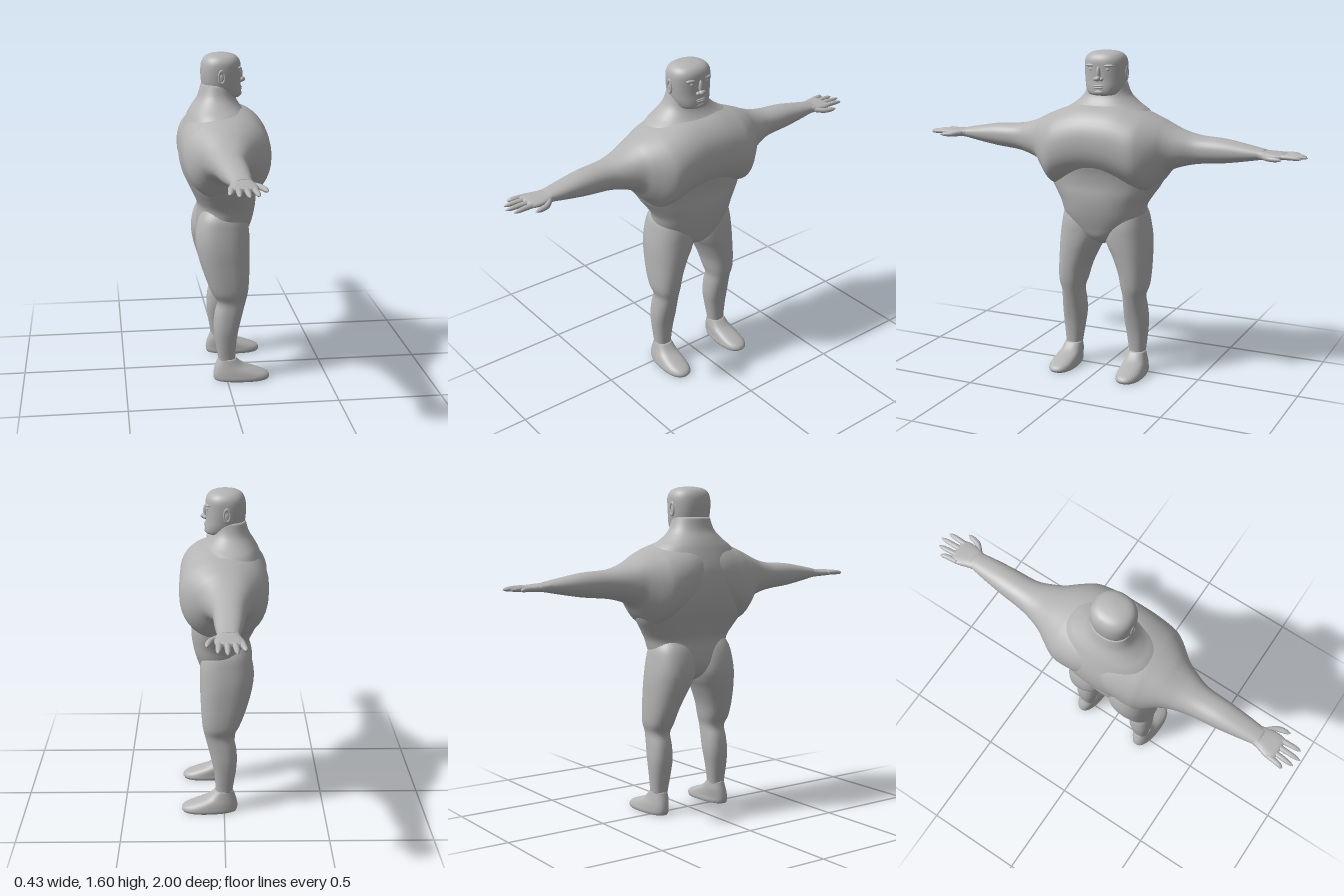
import * as THREE from 'three';

const skin = new THREE.MeshStandardMaterial({ color: 0xb4b4b4 });
skin.name = 'grey skin';

const spline = (a, b, c, d, t) =>
  0.5 * (2 * b + (c - a) * t + (2 * a - 5 * b + 4 * c - d) * t * t + (3 * b - a - 3 * c + d) * t * t * t);

// Smooth closed skin through sections [t, xMin, xMax, bMin, bMax] along axis 'y' (b = z) or 'z' (b = y).
// power squares the rings off; taper makes them wider towards +x.
function loft(axis, rows, { power = 2.2, sides = 36, steps = 4, taper = 0 } = {}) {
  const fine = [];
  for (let i = 0; i < rows.length - 1; i++) {
    const a = rows[Math.max(i - 1, 0)], b = rows[i], c = rows[i + 1], d = rows[Math.min(i + 2, rows.length - 1)];
    for (let s = 0; s < steps; s++) fine.push(b.map((_, k) => spline(a[k], b[k], c[k], d[k], s / steps)));
  }
  fine.push(rows[rows.length - 1]);
  const pos = [], index = [];
  const put = (t, x, b) => (axis === 'y' ? pos.push(x, t, b) : pos.push(x, b, t));
  const tri = (a, b, c) => (axis === 'y' ? index.push(a, c, b) : index.push(a, b, c));
  const bend = (v) => Math.sign(v) * Math.abs(v) ** (2 / power);
  for (const [t, x0, x1, b0, b1] of fine) {
    for (let j = 0; j < sides; j++) {
      const q = (j / sides) * Math.PI * 2, c = bend(Math.cos(q)), s = bend(Math.sin(q));
      put(t, (x0 + x1) / 2 + (c * (x1 - x0)) / 2, (b0 + b1) / 2 + (s * (1 + taper * c) * (b1 - b0)) / 2);
    }
  }
  for (let i = 0; i < fine.length - 1; i++) {
    for (let j = 0; j < sides; j++) {
      const a = i * sides + j, b = i * sides + ((j + 1) % sides);
      tri(a, b, a + sides);
      tri(b, b + sides, a + sides);
    }
  }
  // end caps
  for (const end of [0, fine.length - 1]) {
    const [t, x0, x1, b0, b1] = fine[end], mid = pos.length / 3;
    put(t, (x0 + x1) / 2, (b0 + b1) / 2);
    for (let j = 0; j < sides; j++) {
      const a = end * sides + j, b = end * sides + ((j + 1) % sides);
      if (end) tri(a, b, mid);
      else tri(b, a, mid);
    }
  }
  const g = new THREE.BufferGeometry();
  g.setAttribute('position', new THREE.Float32BufferAttribute(pos, 3));
  g.setIndex(index);
  g.computeVertexNormals();
  return g;
}

// Copy on the other side of the body, with the winding put right
function mirrored(geometry) {
  const g = geometry.clone().scale(1, 1, -1), ix = g.index.array;
  for (let i = 0; i < ix.length; i += 3) [ix[i], ix[i + 1]] = [ix[i + 1], ix[i]];
  g.computeVertexNormals();
  return g;
}

const ball = (x, y, z, rx, ry, rz) => new THREE.SphereGeometry(1, 20, 14).scale(rx, ry, rz).translate(x, y, z);

export function createModel() {
  const model = new THREE.Group();
  model.name = 'heavyset figure';
  const add = (name, geometry) => {
    const mesh = new THREE.Mesh(geometry, skin);
    mesh.name = name;
    model.add(mesh);
  };
  const addPair = (name, geometry) => {
    add(name + 'Near', geometry);
    add(name + 'Far', mirrored(geometry));
  };
  const even = (rows) => rows.map(([y, x0, x1, w]) => [y, x0, x1, -w, w]);

  // Trunk from crotch to neck
  add('torso', loft('y', even([
    [0.655, -0.05, 0.06, 0.02], [0.69, -0.1, 0.108, 0.09], [0.74, -0.125, 0.128, 0.165],
    [0.8, -0.128, 0.146, 0.205], [0.86, -0.125, 0.157, 0.222], [0.91, -0.145, 0.16, 0.252],
    [0.96, -0.168, 0.158, 0.285], [1.02, -0.195, 0.165, 0.305], [1.1, -0.212, 0.185, 0.31],
    [1.2, -0.206, 0.188, 0.295], [1.3, -0.17, 0.128, 0.222], [1.345, -0.147, 0.085, 0.16],
    [1.39, -0.12, 0.06, 0.115], [1.45, -0.102, 0.055, 0.095],
  ]), { sides: 48 }));

  // Chest and shoulders running out into both arms
  const half = [
    [0.1, -0.212, 0.213, 0.972, 1.345], [0.2, -0.206, 0.21, 0.94, 1.316], [0.25, -0.188, 0.19, 0.935, 1.298],
    [0.3, -0.16, 0.15, 0.985, 1.277], [0.34, -0.138, 0.115, 1.035, 1.257], [0.4, -0.115, 0.085, 1.06, 1.232],
    [0.48, -0.097, 0.058, 1.078, 1.213], [0.6, -0.085, 0.051, 1.09, 1.205], [0.7, -0.071, 0.044, 1.106, 1.189],
    [0.78, -0.058, 0.036, 1.121, 1.174], [0.8, -0.056, 0.036, 1.125, 1.169],
  ];
  const otherHalf = half.map(([z, ...r]) => [-z, ...r]).reverse();
  add('chestAndArms', loft('z', [...otherHalf, [0, -0.2, 0.212, 0.985, 1.35], ...half], { sides: 40 }));

  // Palms, fingers and thumbs
  addPair('palm', loft('z', [
    [0.77, -0.056, 0.034, 1.123, 1.172], [0.81, -0.064, 0.045, 1.126, 1.166],
    [0.85, -0.077, 0.05, 1.129, 1.163], [0.885, -0.08, 0.046, 1.132, 1.16], [0.9, -0.074, 0.04, 1.138, 1.154],
  ], { power: 2.6, sides: 24 }));
  const finger = (points, r) => {
    const curve = new THREE.CatmullRomCurve3(points.map((p) => new THREE.Vector3(...p)));
    const rows = [];
    for (let i = 0; i <= 10; i++) {
      const p = curve.getPoint(i / 10), s = r * [1, 1, 1, 1, 1, 0.97, 0.94, 0.9, 0.82, 0.62, 0.15][i];
      rows.push([p.z, p.x - s, p.x + s, p.y - s * 0.85, p.y + s * 0.85]);
    }
    return loft('z', rows, { power: 2, sides: 12, steps: 1 });
  };
  [[-0.066, -0.08, 0.95], [-0.035, -0.045, 0.985], [-0.003, -0.006, 1], [0.028, 0.034, 0.98]].forEach(([x0, x1, tip], i) =>
    addPair('finger' + (i + 1), finger([[x0, 1.146, 0.86], [(x0 + x1) / 2, 1.147, 0.92], [x1, 1.144, tip]], 0.0135)));
  addPair('thumb', finger([[0.025, 1.145, 0.79], [0.065, 1.142, 0.835], [0.08, 1.141, 0.9]], 0.0155));

  // Legs, from hip to ankle
  addPair('leg', loft('y', [
    [0.05, -0.045, 0.05, 0.135, 0.218], [0.1, -0.041, 0.043, 0.135, 0.216], [0.2, -0.056, 0.05, 0.12, 0.225],
    [0.27, -0.063, 0.063, 0.11, 0.229], [0.34, -0.058, 0.08, 0.11, 0.225], [0.4, -0.046, 0.095, 0.112, 0.221],
    [0.45, -0.072, 0.106, 0.1, 0.235], [0.52, -0.1, 0.112, 0.084, 0.238], [0.6, -0.126, 0.116, 0.05, 0.237],
    [0.65, -0.138, 0.118, 0.022, 0.236], [0.7, -0.145, 0.118, 0.004, 0.232], [0.76, -0.14, 0.115, 0.002, 0.223],
    [0.82, -0.122, 0.1, 0.01, 0.21], [0.87, -0.09, 0.07, 0.04, 0.18],
  ], { power: 2.3 }));

  // Feet with flat soles
  addPair('foot', loft('y', [
    [0, -0.06, 0.208, 0.124, 0.242], [0.012, -0.065, 0.214, 0.12, 0.246], [0.03, -0.066, 0.2, 0.122, 0.243],
    [0.05, -0.063, 0.15, 0.124, 0.237], [0.075, -0.056, 0.085, 0.128, 0.227], [0.11, -0.042, 0.044, 0.135, 0.217],
  ], { power: 2.3, taper: 0.12 }));

  // Head
  add('head', loft('y', even([
    [1.384, -0.06, 0.07, 0.055], [1.392, -0.08, 0.087, 0.078], [1.42, -0.093, 0.09, 0.092],
    [1.46, -0.102, 0.086, 0.1], [1.51, -0.105, 0.086, 0.104], [1.55, -0.1, 0.085, 0.102],
    [1.575, -0.086, 0.072, 0.088], [1.588, -0.064, 0.05, 0.065], [1.594, -0.034, 0.022, 0.033],
    [1.596, -0.007, -0.004, 0.002],
  ]), { power: 2.25 }));

  // Face
  add('noseBridge', ball(0.086, 1.492, 0, 0.012, 0.034, 0.011));
  add('noseTip', ball(0.094, 1.467, 0, 0.016, 0.013, 0.015));
  addPair('nostril', ball(0.087, 1.464, 0.016, 0.012, 0.009, 0.01));
  addPair('brow', ball(0.072, 1.528, 0.042, 0.014, 0.008, 0.03));
  addPair('eye', ball(0.073, 1.51, 0.042, 0.01, 0.009, 0.012));
  add('upperLip', ball(0.087, 1.432, 0, 0.007, 0.005, 0.028));
  add('lowerLip', ball(0.087, 1.423, 0, 0.007, 0.005, 0.025));
  add('chin', ball(0.079, 1.402, 0, 0.014, 0.014, 0.03));

  // Ears
  addPair('earRim', new THREE.TorusGeometry(0.018, 0.006, 8, 24).scale(0.8, 1.6, 1).translate(-0.014, 1.49, 0.102));
  addPair('earLobe', ball(-0.014, 1.482, 0.1, 0.013, 0.024, 0.006));

  return model;
}
